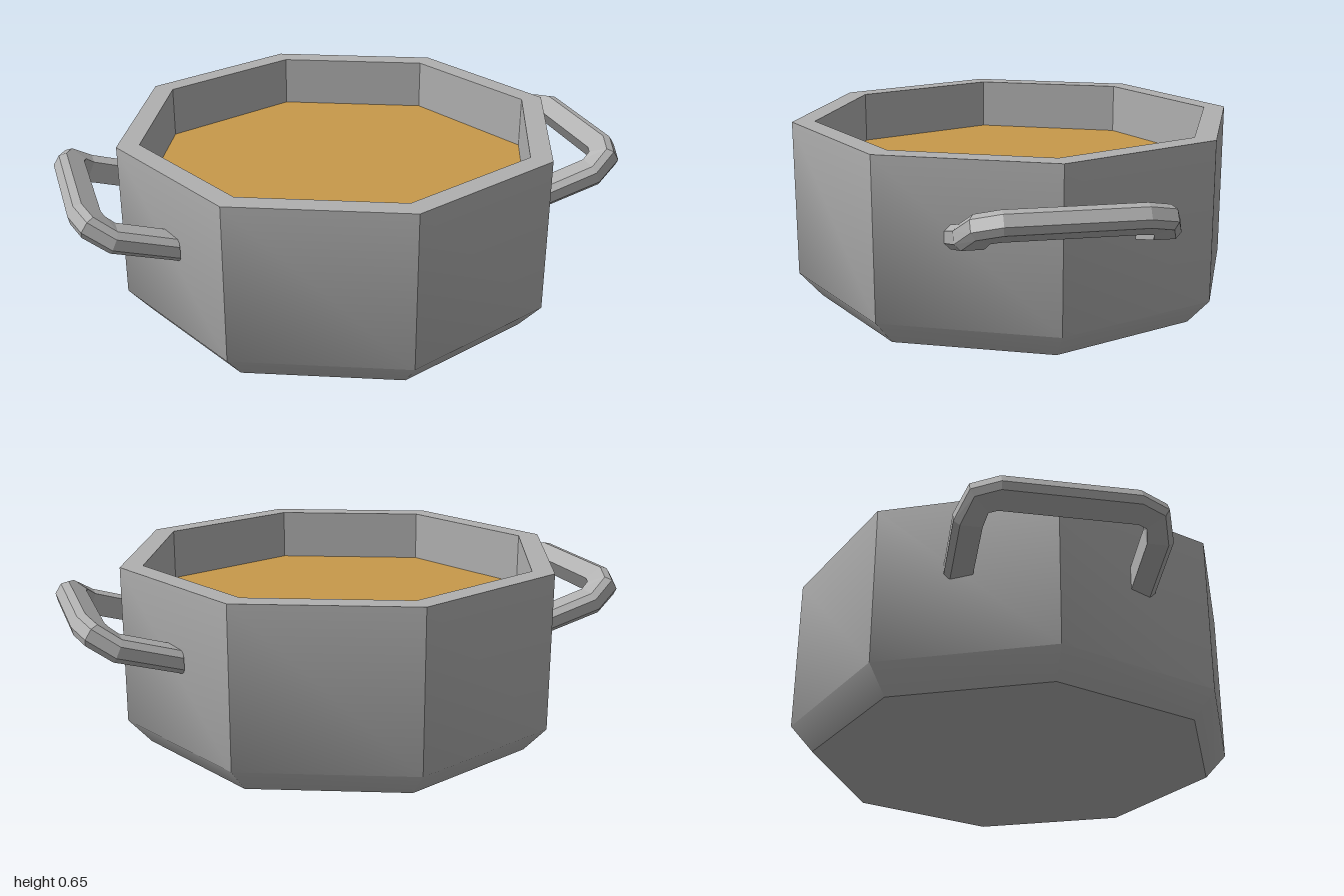
import * as THREE from 'three';
import { toCreasedNormals } from 'three/addons/utils/BufferGeometryUtils.js';

// Sweeps a chamfered bar section along a U-shaped path that bends upwards
function handleGeometry() {
  const section = [[-0.04, 0.04], [0.03, 0.04], [0.05, 0.02], [0.05, -0.02], [0.03, -0.04], [-0.04, -0.04]];
  // centre, outward direction and up direction of each station on one half
  const half = [
    { c: [0.66, 0.397, 0.3], w: [0, 0, 1], v: [0, 1, 0] },
    { c: [0.87, 0.458, 0.3], w: [0, 0, 1], v: [-0.4, 0.92, 0] },
    { c: [0.928, 0.498, 0.277], w: [0.6, 0.37, 0.71], v: [-0.53, 0.85, 0] },
    { c: [0.947, 0.51, 0.22], w: [0.85, 0.53, 0], v: [-0.53, 0.85, 0] },
  ];
  const flip = ([x, y, z]) => [x, y, -z];
  const stations = [...half, ...half.slice().reverse().map(s => ({ c: flip(s.c), w: flip(s.w), v: s.v }))];

  const positions = [];
  for (const { c, w, v } of stations)
    for (const [a, b] of section)
      for (let i = 0; i < 3; i++) positions.push(c[i] + w[i] * a + v[i] * b);

  const n = section.length, index = [];
  for (let r = 0; r < stations.length - 1; r++) {
    for (let k = 0; k < n; k++) {
      const a = r * n + k, b = r * n + (k + 1) % n;
      index.push(a, b, b + n, a, b + n, a + n);
    }
  }
  // end caps
  const last = (stations.length - 1) * n;
  for (let k = 1; k < n - 1; k++) {
    index.push(0, k + 1, k, last, last + k, last + k + 1);
  }

  const indexed = new THREE.BufferGeometry();
  indexed.setAttribute('position', new THREE.Float32BufferAttribute(positions, 3));
  indexed.setIndex(index);
  const geometry = indexed.toNonIndexed();
  geometry.computeVertexNormals();
  return geometry;
}

export function createModel() {
  const model = new THREE.Group();
  model.name = 'cookingPot';
  const metal = new THREE.MeshStandardMaterial({ name: 'grey metal', color: 0xb0b0b0 });
  const broth = new THREE.MeshStandardMaterial({ name: 'golden soup', color: 0xc8994a });

  const add = (name, geometry, material) => {
    const mesh = new THREE.Mesh(geometry, material);
    mesh.name = name;
    model.add(mesh);
    return mesh;
  };

  // Octagonal pot with a chamfered base, thick rim and inner wall
  const profile = [[0, 0], [0.72, 0], [0.8, 0.09], [0.8, 0.65], [0.72, 0.65], [0.72, 0.4]]
    .map(([r, y]) => new THREE.Vector2(r, y));
  add('potBody', toCreasedNormals(new THREE.LatheGeometry(profile, 8), THREE.MathUtils.degToRad(42)), metal);

  // Soup surface
  const soup = add('soup', new THREE.CircleGeometry(0.72, 8).rotateX(-Math.PI / 2), broth);
  soup.position.y = 0.465;

  // Handles on both sides
  const handle = handleGeometry();
  add('leftHandle', handle, metal);
  add('rightHandle', handle, metal).rotation.y = Math.PI;

  return model;
}
